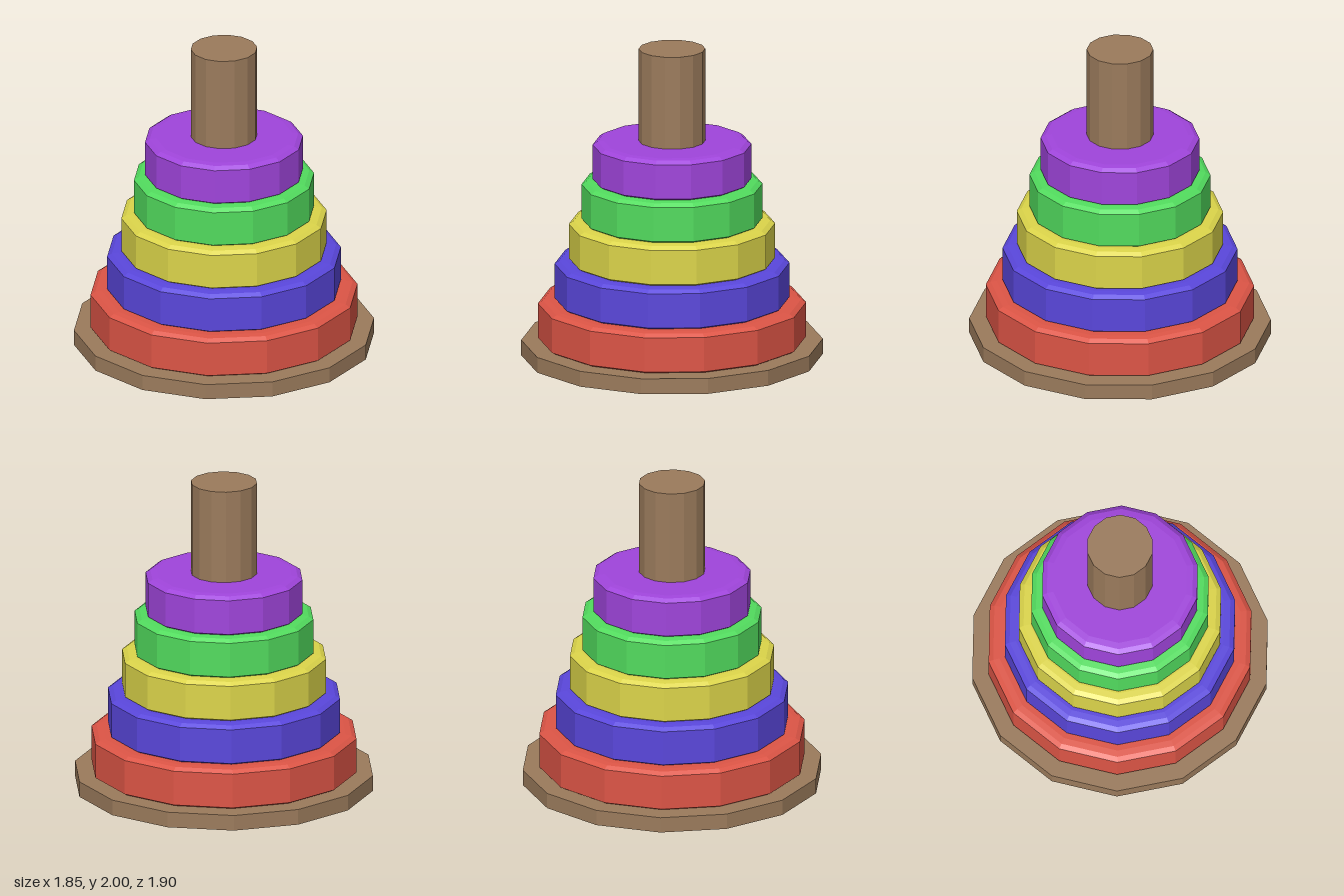
import * as THREE from 'three';

const SIDES = 14;

function material(name, color) {
  const m = new THREE.MeshStandardMaterial({ color, flatShading: true });
  m.name = name;
  return m;
}

export function createModel() {
  const group = new THREE.Group();
  group.name = 'stackingRings';
  const wood = material('wood brown', 0x9b7b5c);

  const add = (name, geometry, mat, y) => {
    const mesh = new THREE.Mesh(geometry, mat);
    mesh.name = name;
    mesh.position.y = y;
    group.add(mesh);
  };

  // Base plate and central post
  add('base', new THREE.CylinderGeometry(0.95, 0.95, 0.1, SIDES), wood, 0.05);
  add('post', new THREE.CylinderGeometry(0.21, 0.21, 1.9, SIDES), wood, 1.05);

  // Rings with a softened upper rim, largest at the bottom
  const rings = [
    ['red', 0xdd5546, 0.845],
    ['blue', 0x5a47dc, 0.74],
    ['yellow', 0xdcd54a, 0.65],
    ['green', 0x52dc5e, 0.57],
    ['purple', 0xa045dc, 0.5],
  ];
  const step = 0.259;
  rings.forEach(([name, color, r], i) => {
    const profile = [
      [0.2, 0], [r - 0.02, 0], [r, 0.011], [r, step - 0.025],
      [r - 0.03, step - 0.005], [r - 0.07, step], [0.2, step],
    ].map(([x, y]) => new THREE.Vector2(x, y));
    add(name + 'Ring', new THREE.LatheGeometry(profile, SIDES), material(name, color), 0.105 + i * step);
  });

  return group;
}
